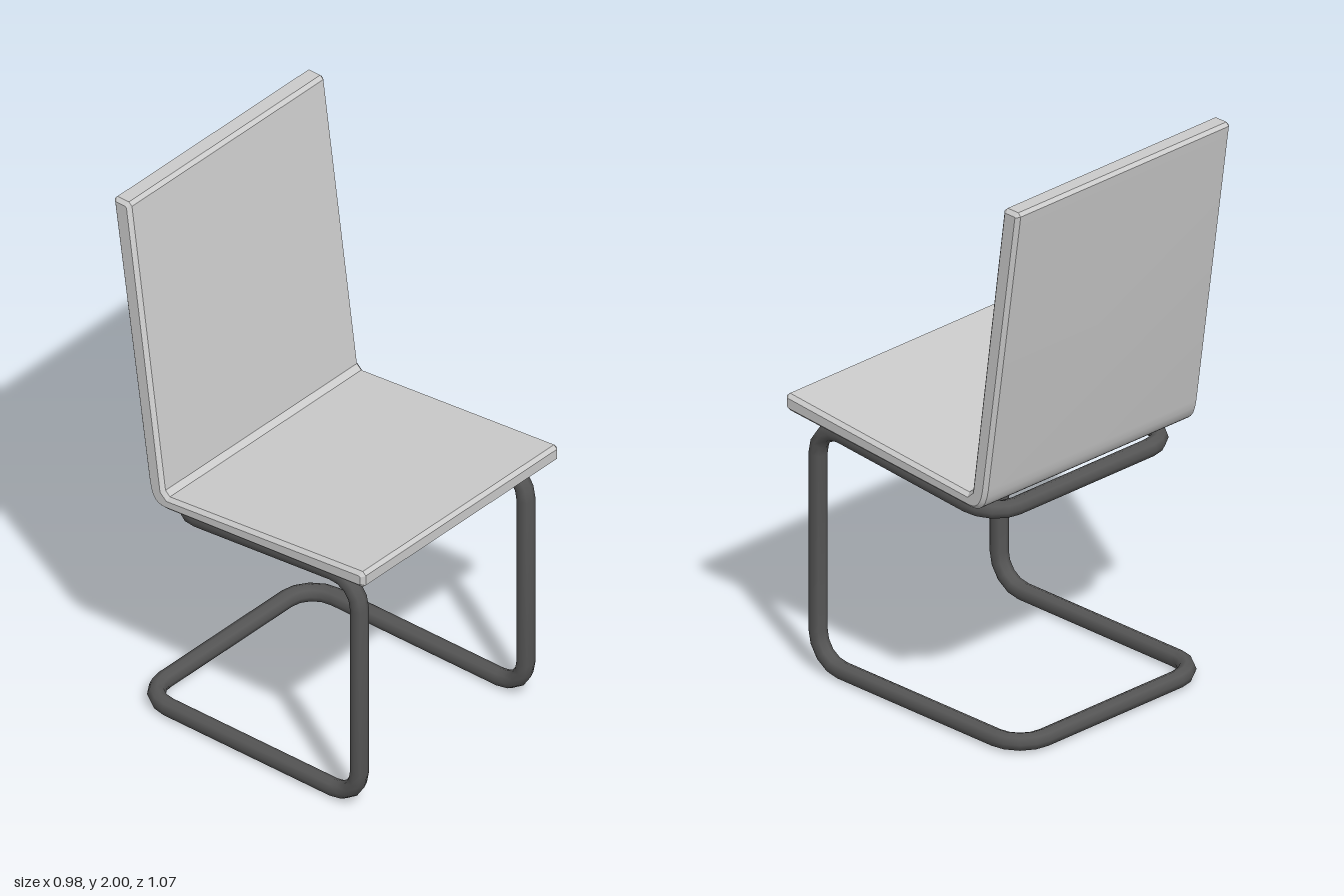
import * as THREE from 'three';
import { toCreasedNormals } from 'three/addons/utils/BufferGeometryUtils.js';

const V = (x, y, z) => new THREE.Vector3(x, y, z);

// Polyline with its inner corners rounded into short bends
class BentPath extends THREE.Curve {
  constructor(corners, radius, steps) {
    super();
    this.pts = [corners[0]];
    for (let i = 1; i < corners.length - 1; i++) {
      const c = corners[i];
      const a = c.clone().add(corners[i - 1].clone().sub(c).setLength(radius));
      const b = c.clone().add(corners[i + 1].clone().sub(c).setLength(radius));
      // rational quadratic weight makes the bend close to a circular arc
      const w = Math.SQRT1_2;
      for (let k = 0; k <= steps; k++) {
        const t = k / steps, p = (1 - t) ** 2, q = 2 * w * t * (1 - t), r = t * t;
        this.pts.push(V(0, 0, 0).addScaledVector(a, p).addScaledVector(c, q)
          .addScaledVector(b, r).divideScalar(p + q + r));
      }
    }
    this.pts.push(corners[corners.length - 1]);
    this.count = this.pts.length - 1;
  }
  getPointAt(u) {
    return this.pts[Math.round(u * this.count)].clone();
  }
  getTangentAt(u) {
    const i = Math.round(u * this.count), p = this.pts, n = this.count;
    const before = p[Math.max(i, 1)].clone().sub(p[Math.max(i, 1) - 1]).normalize();
    const j = Math.min(i, n - 1);
    return before.add(p[j + 1].clone().sub(p[j]).normalize()).normalize();
  }
}

// Seat and backrest: one bent, bevelled panel, drawn as (-z, y) and extruded along x
function seatShell(material) {
  const s = new THREE.Shape();
  s.moveTo(-0.535, 0.943);
  s.lineTo(-0.522, 0.931);
  s.lineTo(0.31, 0.867);
  s.bezierCurveTo(0.355, 0.866, 0.376, 0.89, 0.386, 0.95);
  s.lineTo(0.535, 1.988);
  s.lineTo(0.524, 2.0);
  s.lineTo(0.475, 2.0);
  s.lineTo(0.462, 1.988);
  s.lineTo(0.319, 0.935);
  s.lineTo(0.3, 0.918);
  s.lineTo(-0.522, 0.992);
  s.lineTo(-0.535, 0.98);
  s.closePath();
  const bevel = 0.013, width = 0.98;
  const geo = new THREE.ExtrudeGeometry(s, {
    depth: width - 2 * bevel, curveSegments: 6, bevelEnabled: true,
    bevelSegments: 1, bevelSize: bevel, bevelThickness: bevel, bevelOffset: -bevel,
  });
  geo.translate(0, 0, bevel - width / 2);
  geo.rotateY(Math.PI / 2);
  const mesh = new THREE.Mesh(toCreasedNormals(geo, 0.5), material);
  mesh.name = 'seatAndBackrest';
  return mesh;
}

// One half of the cantilever tube, from the rear floor bar up to the bar under the seat
function frameHalf(side, material) {
  const x = side * 0.415;
  const path = new BentPath([
    V(0, 0.033, -0.47), V(x, 0.033, -0.47), V(x, 0.033, 0.455),
    V(x, 0.892, 0.455), V(x, 0.823, -0.342), V(0, 0.823, -0.342),
  ], 0.11, 4);
  const mesh = new THREE.Mesh(new THREE.TubeGeometry(path, path.count, 0.031, 8, false), material);
  mesh.name = side > 0 ? 'leftFrameTube' : 'rightFrameTube';
  return mesh;
}

export function createModel() {
  const chair = new THREE.Group();
  chair.name = 'cantileverChair';
  const shell = new THREE.MeshStandardMaterial({ color: 0xcccccc });
  const metal = new THREE.MeshStandardMaterial({ color: 0x555555 });

  const frame = new THREE.Group();
  frame.name = 'tubeFrame';
  for (const side of [1, -1]) frame.add(frameHalf(side, metal));
  chair.add(seatShell(shell), frame);
  return chair;
}
